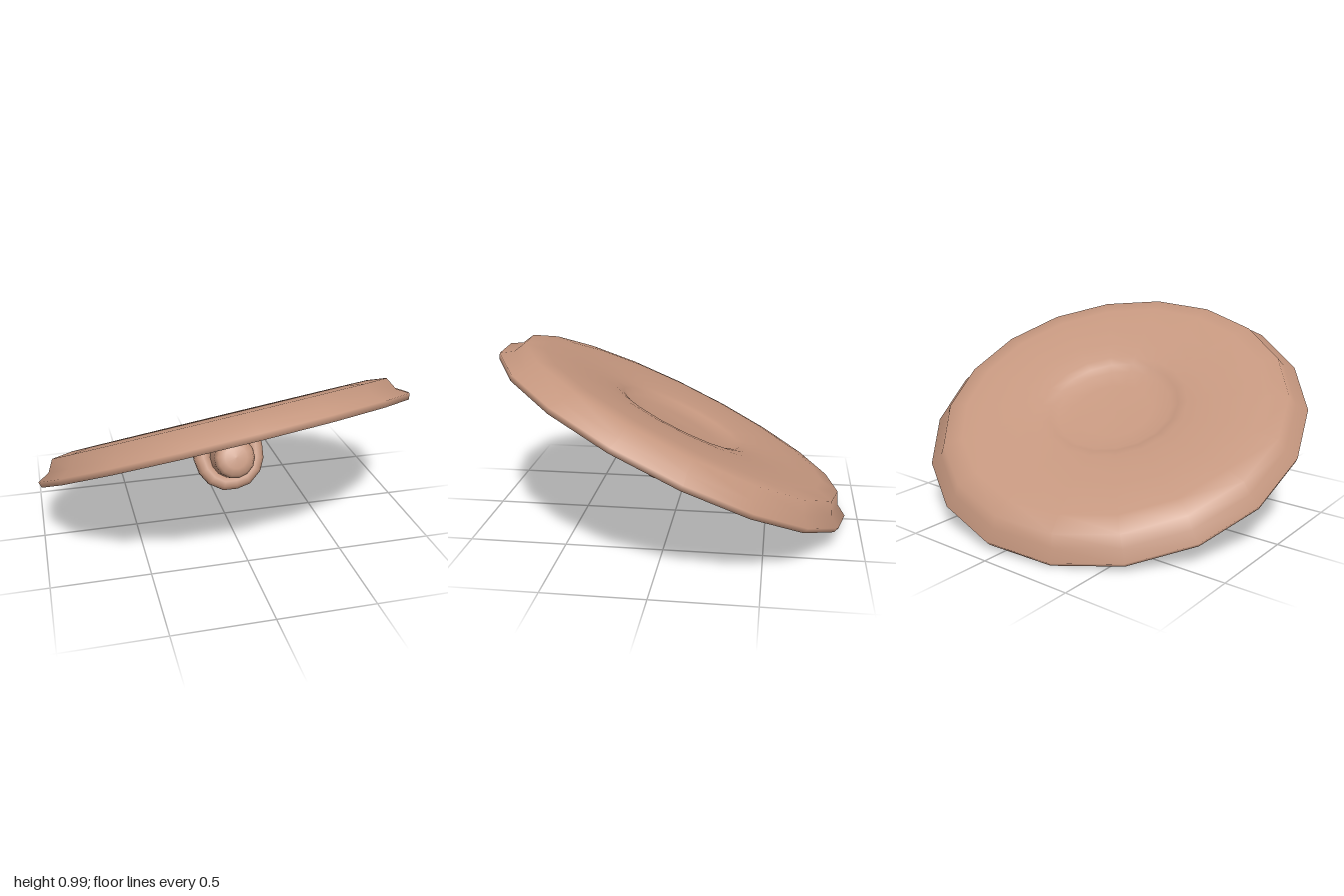
import * as THREE from 'three';

const v2 = (pts) => pts.map(([x, y]) => new THREE.Vector2(x, y));

export function createModel() {
  const clay = new THREE.MeshStandardMaterial({ color: 0xc4967e });
  clay.name = 'warm clay';

  const model = new THREE.Group();
  model.name = 'tiltedDisc';
  const add = (geometry, name, parent) => {
    const mesh = new THREE.Mesh(geometry, clay);
    mesh.name = name;
    parent.add(mesh);
    return mesh;
  };

  // Everything hangs in one frame, tipped up at the front
  const tilt = new THREE.Group();
  tilt.name = 'tilt';
  tilt.position.y = 0.474;
  tilt.quaternion.setFromUnitVectors(
    new THREE.Vector3(0, 1, 0),
    new THREE.Vector3(-0.136, 0.893, -0.429).normalize()
  );
  model.add(tilt);

  // Disc: underside boss, hollow ring, flared lip, soft shoulder, top sinking to a central dent
  const profile = v2([
    [0, -0.05], [0.2, -0.048], [0.285, -0.035], [0.325, -0.008], [0.35, 0.016], [0.45, 0.042],
    [0.6, 0.07], [0.75, 0.08], [0.84, 0.07], [0.9, 0.046], [0.955, 0.004],
    [0.985, -0.018], [1.008, -0.02], [1.019, 0.01], [0.958, 0.046], [0.925, 0.109],
    [0.82, 0.122], [0.65, 0.12], [0.5, 0.108], [0.4, 0.094], [0.35, 0.08], [0.31, 0.056],
    [0.2, 0.045], [0, 0.042],
  ]);
  add(new THREE.LatheGeometry(profile, 18, THREE.MathUtils.degToRad(-2)), 'disc', tilt);

  // Grip under the disc
  const grip = new THREE.Group();
  grip.name = 'grip';
  grip.position.y = -0.11;
  tilt.add(grip);

  // Short bar with rounded ends, lying front to back
  const bar = add(new THREE.LatheGeometry(v2([
    [0, -0.194], [0.06, -0.19], [0.095, -0.175], [0.11, -0.145],
    [0.11, 0.145], [0.095, 0.175], [0.06, 0.19], [0, 0.194],
  ]), 14), 'bar', grip);
  bar.rotation.x = Math.PI / 2;

  // U-shaped strap around the bar, rising to the boss
  const path = new THREE.CatmullRomCurve3([
    [-0.142, 0.09], [-0.142, -0.02], [-0.075, -0.115],
    [0.075, -0.115], [0.142, -0.02], [0.142, 0.09],
  ].map(([x, y]) => new THREE.Vector3(x, y, 0)));
  add(new THREE.TubeGeometry(path, 10, 0.048, 10, false), 'strap', grip);

  // Flat caps on the strap ends
  for (const side of [-1, 1]) {
    const cap = add(new THREE.CircleGeometry(0.048, 10), 'strapEnd', grip);
    cap.position.set(side * 0.142, 0.09, 0);
    cap.rotation.x = -Math.PI / 2;
  }

  return model;
}
